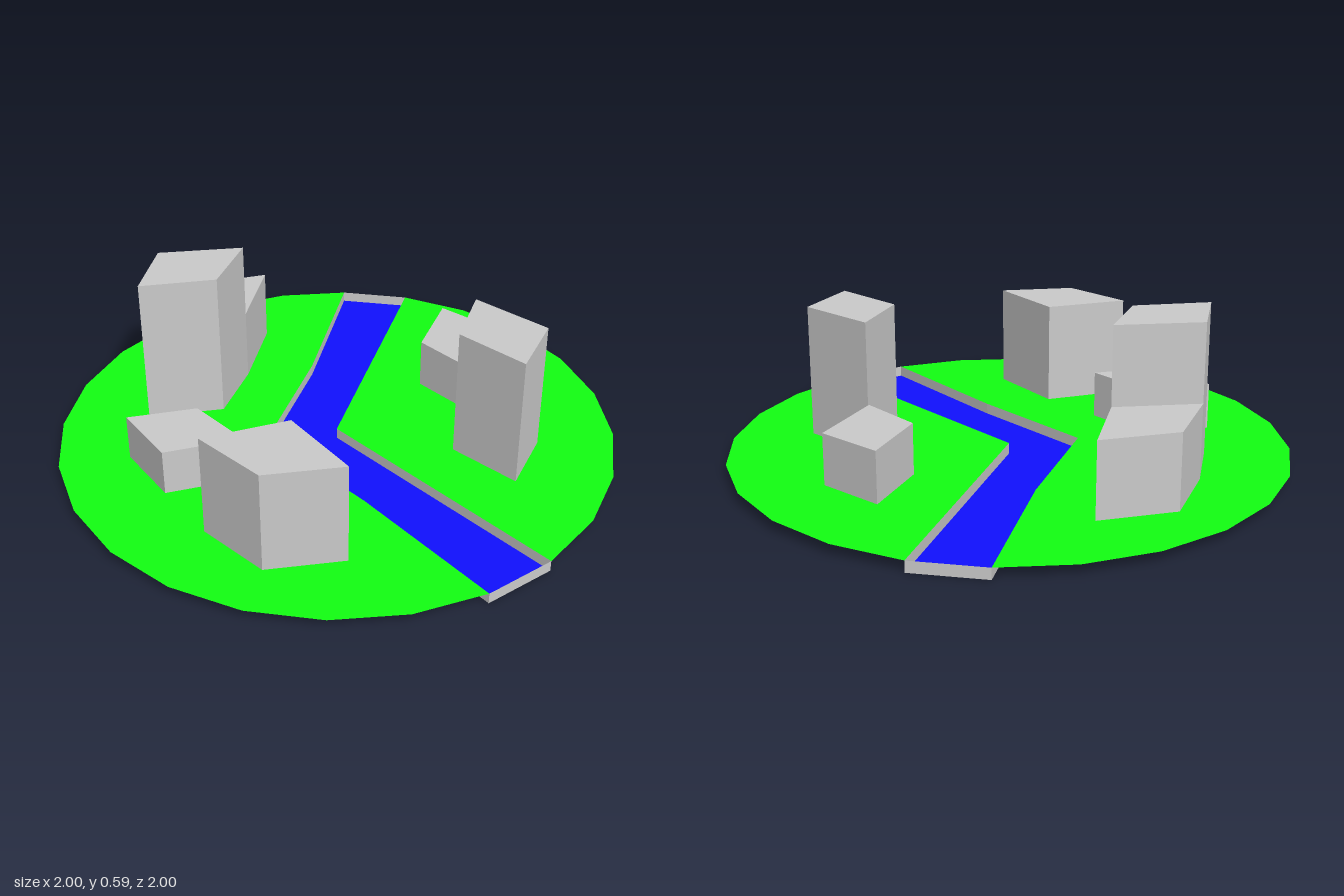
import * as THREE from 'three';

const GROUND = 0.04; // height of the land above the river bed
const SIDES = 24;

const material = (color) =>
  new THREE.MeshStandardMaterial({ color, flatShading: true, side: THREE.DoubleSide });

// Plan points are [x, z], listed counterclockwise as seen from above.
const toPlan = (points) => points.map(([x, z]) => new THREE.Vector2(x, -z));

// Rim points of the 24-sided disc between two step numbers (0 = +x, 6 = back).
function rim(from, to) {
  const points = [];
  for (let i = from; i <= to; i++) {
    const a = (i / SIDES) * Math.PI * 2;
    points.push([Math.cos(a), -Math.sin(a)]);
  }
  return points;
}

// Flat horizontal sheet with optional holes.
function sheet(name, outline, y, mat, holes = []) {
  const shape = new THREE.Shape(toPlan(outline));
  shape.holes = holes.map((h) => new THREE.Path(toPlan(h)));
  const geometry = new THREE.ShapeGeometry(shape).rotateX(-Math.PI / 2).translate(0, y, 0);
  const mesh = new THREE.Mesh(geometry, mat);
  mesh.name = name;
  return mesh;
}

// Vertical walls around a closed outline.
function walls(name, outline, y0, y1, mat) {
  const positions = [];
  outline.forEach(([ax, az], i) => {
    const [bx, bz] = outline[(i + 1) % outline.length];
    positions.push(ax, y0, az, bx, y0, bz, bx, y1, bz);
    positions.push(ax, y0, az, bx, y1, bz, ax, y1, az);
  });
  const geometry = new THREE.BufferGeometry();
  geometry.setAttribute('position', new THREE.Float32BufferAttribute(positions, 3));
  geometry.computeVertexNormals();
  const mesh = new THREE.Mesh(geometry, mat);
  mesh.name = name;
  return mesh;
}

// Hollow building: walls and a roof, open underneath.
function building(name, outline, top, mat) {
  const group = new THREE.Group();
  group.name = name;
  group.add(walls('walls', outline, GROUND, top, mat), sheet('roof', outline, top, mat));
  return group;
}

export function createModel() {
  const model = new THREE.Group();
  model.name = 'roundTown';
  const grey = material(0xcccccc);
  const green = material(0x12ff12);
  const blue = material(0x1010ff);

  // Buildings
  const tower = [[-0.22, -0.38], [0, -0.5], [-0.25, -0.68], [-0.45, -0.53]];
  const annex = [[0, -0.5], [0.25, -0.68], [0, -0.81], [-0.25, -0.68]];
  const rightHouse = [[-0.685, -0.125], [-0.435, 0], [-0.435, -0.25], [-0.65, -0.375]];
  const rightBlock = [[-0.7, 0.4], [-0.47, 0.555], [-0.435, 0.25], [-0.715, 0.125]];
  const leftHouse = [[0.435, 0.245], [0.715, 0.125], [0.68, -0.12], [0.435, 0]];
  const leftBlock = [[0.235, 0.65], [0.465, 0.555], [0.432, 0.255], [0.215, 0.375]];
  model.add(
    building('backTower', tower, 0.59, grey),
    building('towerAnnex', annex, 0.31, grey),
    building('rightHouse', rightHouse, 0.21, grey),
    building('rightBlock', rightBlock, 0.415, grey),
    building('leftHouse', leftHouse, 0.225, grey),
    building('leftBlock', leftBlock, 0.52, grey),
  );

  // Sunken river with banks and closed ends
  const farBank = [[0.22, -0.375], [-0.22, -0.13], [-0.22, 0.37]];
  const river = [[0, 0], ...rim(2, 3), ...farBank, ...rim(17, 18)];
  model.add(
    sheet('riverWater', river, 0, blue),
    walls('riverBanks', river, 0, GROUND, grey),
  );

  // Land on both sides of the river, open beneath the buildings
  const towerFootprint = [tower[0], ...annex, tower[3]];
  model.add(
    sheet('leftLand', [[0, 0], ...rim(-6, 2)], GROUND, green, [leftHouse, leftBlock]),
    sheet('rightLand', [...rim(3, 17), ...[...farBank].reverse()], GROUND, green,
      [towerFootprint, rightHouse, rightBlock]),
  );

  return model;
}
